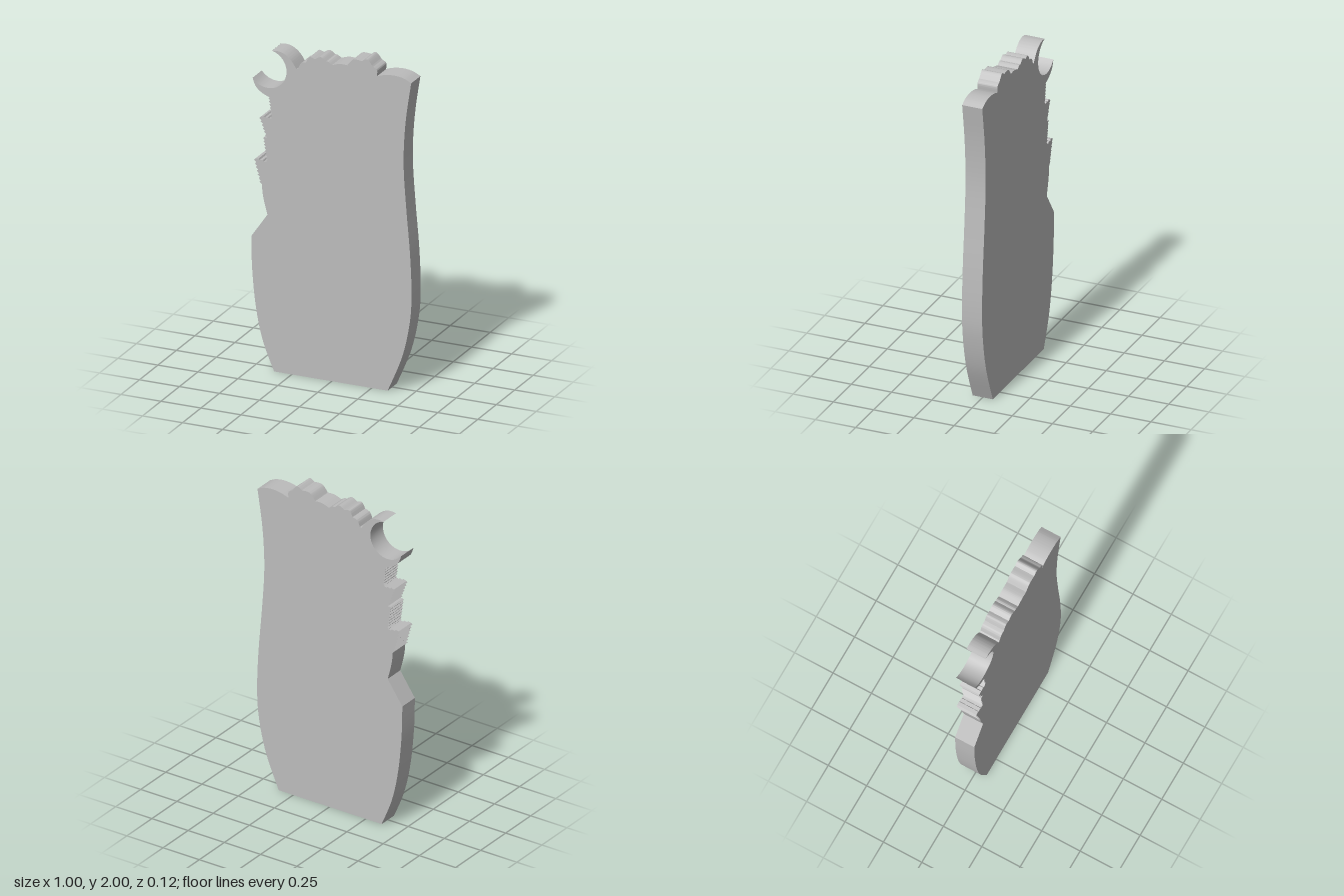
import * as THREE from 'three';
import { toCreasedNormals } from 'three/addons/utils/BufferGeometryUtils.js';

const DEPTH = 0.125;
const stone = new THREE.MeshStandardMaterial({ color: 0xbcbcbc });
stone.name = 'plain grey';

export function createModel() {
  const shape = new THREE.Shape();
  const spline = (...pts) => shape.splineThru(pts.map(([x, y]) => new THREE.Vector2(x, y)));

  // Row of small saw teeth from the current point to (x, y), pointing outwards
  const teeth = (x, y, count, size) => {
    const a = shape.currentPoint.clone();
    const d = new THREE.Vector2(x, y).sub(a);
    const out = new THREE.Vector2(d.y, -d.x).normalize().multiplyScalar(size);
    for (let i = 0; i < count; i++) {
      const tip = a.clone().addScaledVector(d, (i + 0.25) / count).add(out);
      const root = a.clone().addScaledVector(d, (i + 1) / count);
      shape.lineTo(tip.x, tip.y);
      shape.lineTo(root.x, root.y);
    }
  };

  // Flat foot and the S-curved side
  shape.moveTo(-0.36, 0);
  shape.lineTo(0.35, 0);
  spline([0.44, 0.22], [0.487, 0.43], [0.499, 0.61], [0.49, 0.85], [0.467, 1.12],
    [0.451, 1.35], [0.452, 1.52], [0.467, 1.7], [0.497, 1.9]);

  // Rounded shoulder
  spline([0.45, 1.922], [0.39, 1.93], [0.33, 1.923], [0.283, 1.908]);

  // Scalloped top: each bump is a middle point and an end point
  const bumps = [
    [0.283, 1.945, 0.257, 1.963], [0.237, 1.996, 0.19, 1.985],
    [0.135, 1.985, 0.097, 1.944], [0.052, 1.945, 0.003, 1.93],
    [-0.02, 1.945, -0.035, 1.945], [-0.068, 1.966, -0.105, 1.948],
    [-0.138, 1.955, -0.16, 1.92], [-0.193, 1.908, -0.21, 1.872],
  ];
  bumps[1][1] = 2;
  bumps[1][0] = 0.222;
  for (const [mx, my, x, y] of bumps) spline([mx, my], [x, y]);
  shape.lineTo(-0.22, 1.868);

  // Crescent: outer edge, round hollow, outer edge
  spline([-0.255, 1.917], [-0.295, 1.947], [-0.335, 1.958], [-0.373, 1.955]);
  shape.absarc(-0.4, 1.841, 0.118, 1.34, -2.5, true);
  spline([-0.475, 1.722], [-0.435, 1.688], [-0.387, 1.668]);

  // Ragged edge in three tiers
  teeth(-0.368, 1.535, 7, 0.009);
  teeth(-0.445, 1.54, 3, 0.008);
  teeth(-0.403, 1.42, 6, 0.009);
  shape.lineTo(-0.42, 1.42);
  teeth(-0.398, 1.265, 8, 0.01);
  teeth(-0.478, 1.28, 3, 0.008);
  teeth(-0.437, 1.13, 7, 0.01);
  spline([-0.431, 1.07], [-0.418, 1.01], [-0.402, 0.95]);

  // Notch and the lower curved side
  shape.lineTo(-0.503, 0.803);
  spline([-0.497, 0.6], [-0.473, 0.37], [-0.43, 0.175], [-0.36, 0]);

  const slab = new THREE.ExtrudeGeometry(shape, {
    depth: DEPTH, bevelEnabled: false, curveSegments: 8, steps: 1,
  });
  slab.translate(0, 0, -DEPTH / 2);

  const panel = new THREE.Mesh(toCreasedNormals(slab, 0.45), stone);
  panel.name = 'silhouettePanel';
  const model = new THREE.Group();
  model.name = 'cutoutPanel';
  model.add(panel);
  return model;
}
